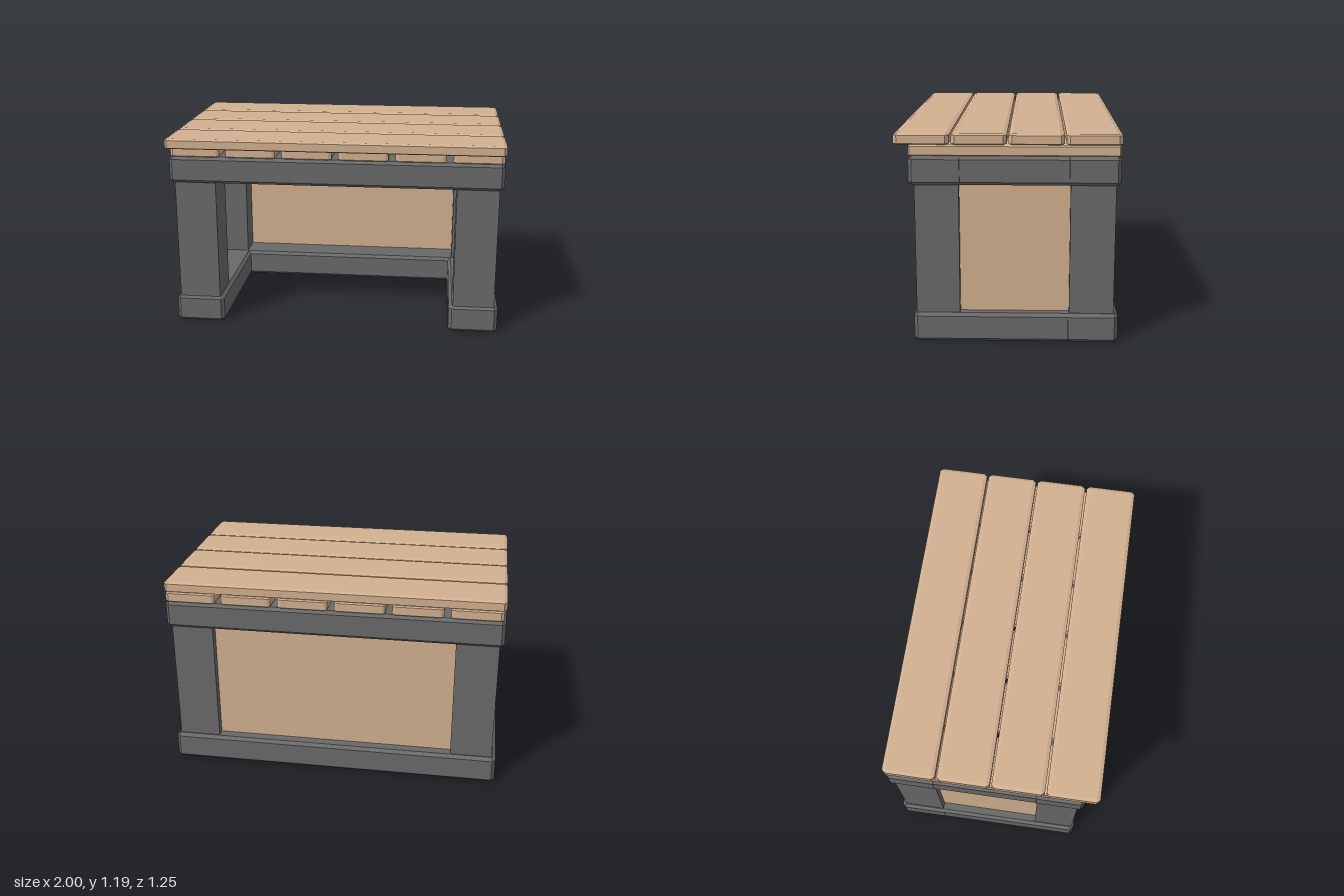
import * as THREE from 'three';
import { ConvexGeometry } from 'three/addons/geometries/ConvexGeometry.js';

const wood = new THREE.MeshStandardMaterial({ color: 0xd2b090, flatShading: true });
const darkFrame = new THREE.MeshStandardMaterial({ color: 0x696969, flatShading: true });

// Box given by its ranges; a chamfer [cx, cy, cz] bevels every edge
function block(name, material, [x0, x1], [y0, y1], [z0, z1], chamfer) {
  const w = (x1 - x0) / 2, h = (y1 - y0) / 2, d = (z1 - z0) / 2;
  let geometry;
  if (chamfer) {
    const [cx, cy, cz] = chamfer;
    const points = [];
    for (const i of [-1, 1]) for (const j of [-1, 1]) for (const k of [-1, 1]) {
      points.push(
        new THREE.Vector3(i * w, j * (h - cy), k * (d - cz)),
        new THREE.Vector3(i * (w - cx), j * h, k * (d - cz)),
        new THREE.Vector3(i * (w - cx), j * (h - cy), k * d));
    }
    geometry = new ConvexGeometry(points);
  } else {
    geometry = new THREE.BoxGeometry(2 * w, 2 * h, 2 * d);
  }
  const mesh = new THREE.Mesh(geometry, material);
  mesh.name = name;
  mesh.position.set((x0 + x1) / 2, (y0 + y1) / 2, (z0 + z1) / 2);
  return mesh;
}

export function createModel() {
  const model = new THREE.Group();
  model.name = 'workbench';
  const bevel = [0.02, 0.018, 0.02];
  const baseY = [0, 0.167], railY = [0.905, 1.067], legY = [0.1, 0.98];
  const full = [-1, 1], backZ = [-0.62, -0.32];

  // Base plinth (open at the front) and upper frame
  model.add(block('backBase', darkFrame, full, baseY, backZ, bevel));
  model.add(block('backRail', darkFrame, full, railY, backZ, bevel));
  model.add(block('frontRail', darkFrame, full, railY, [0.245, 0.545], bevel));

  // Left and right sides: base, rail, legs and inset panel
  for (const [side, s] of [['left', 1], ['right', -1]]) {
    const span = (a, b) => (s > 0 ? [a, b] : [-b, -a]);
    model.add(block(side + 'Base', darkFrame, span(0.7, 0.998), baseY, [-0.4, 0.53], bevel));
    model.add(block(side + 'Rail', darkFrame, span(0.7, 0.998), railY, [-0.4, 0.32], bevel));
    model.add(block(side + 'FrontLeg', darkFrame, span(0.725, 0.975), legY, [0.27, 0.515]));
    model.add(block(side + 'BackLeg', darkFrame, span(0.725, 0.975), legY, [-0.595, -0.345]));
    model.add(block(side + 'Panel', wood, span(0.905, 0.935), legY, [-0.4, 0.32]));
  }
  model.add(block('backPanel', wood, [-0.78, 0.78], legY, [-0.545, -0.515]));

  // Six cross slats under the top
  for (let i = 0; i < 6; i++) {
    const x = 0.004 + (i - 2.5) * 0.337;
    model.add(block('crossSlat' + (i + 1), wood, [x - 0.148, x + 0.148],
      [1.066, 1.128], [-0.618, 0.545], [0.017, 0.007, 0.01]));
  }

  // Four long planks forming the top
  for (let i = 0; i < 4; i++) {
    const z = (i - 1.5) * 0.314;
    model.add(block('topPlank' + (i + 1), wood, full,
      [1.128, 1.19], [z - 0.152, z + 0.152], [0.018, 0.008, 0.02]));
  }
  return model;
}
